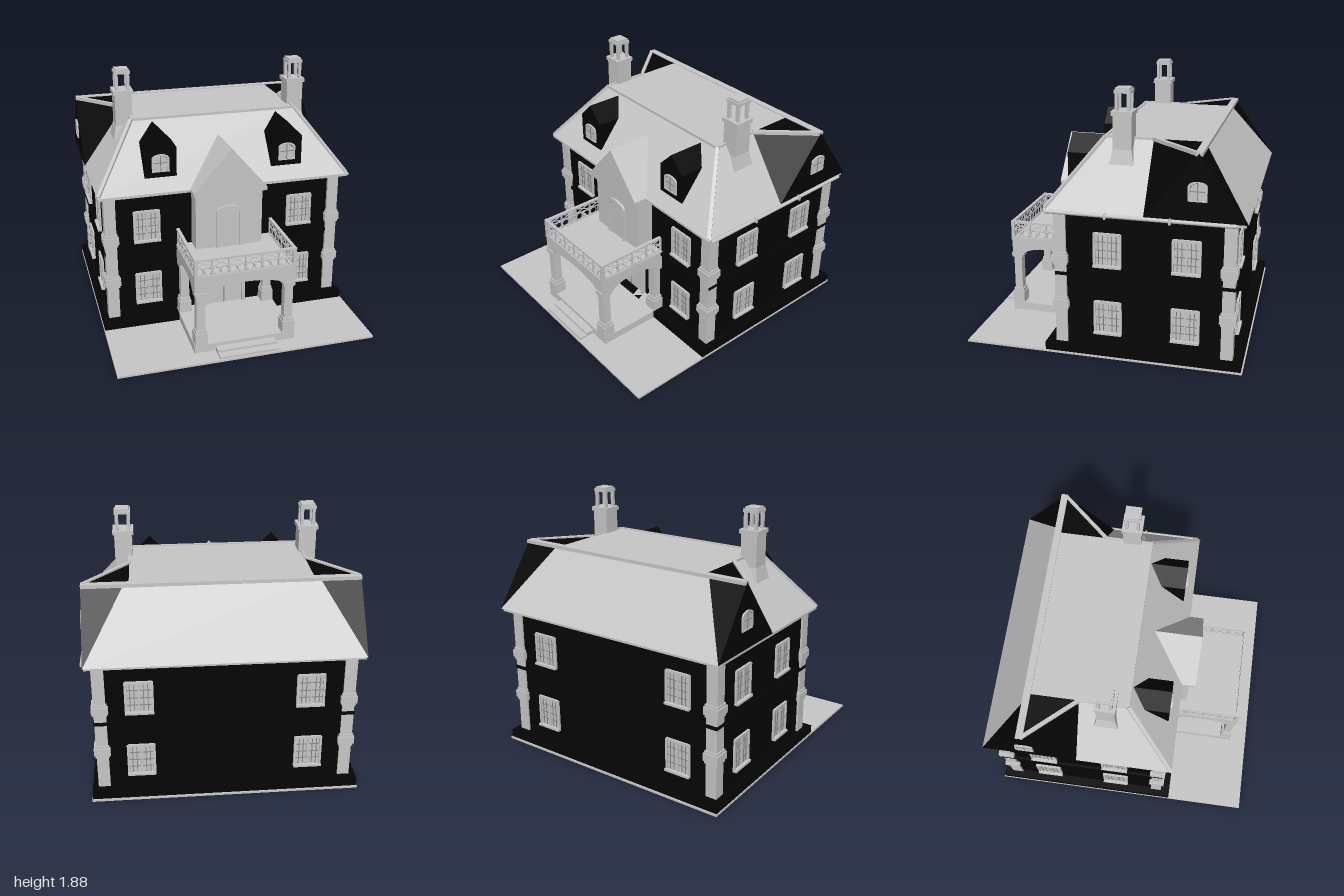
import * as THREE from 'three';

const CX = -0.013; // house axis
const SIDES = [-1, 1];

export function createModel() {
  const root = new THREE.Group();
  root.name = 'house';
  const mat = (name, color) => {
    const m = new THREE.MeshStandardMaterial({ color });
    m.name = name;
    return m;
  };
  const stone = mat('light grey stone', 0xc8c8c8);
  const dark = mat('black brick', 0x050505);
  const line = mat('window bar grey', 0x8c8c8c);

  const add = (parent, name, geo, m) => {
    const mesh = new THREE.Mesh(geo, m);
    mesh.name = name;
    parent.add(mesh);
    return mesh;
  };
  // box given by its min and max on each axis
  const box = (name, x0, x1, y0, y1, z0, z1, m = stone, parent = root) => {
    const b = add(parent, name, new THREE.BoxGeometry(x1 - x0, y1 - y0, z1 - z0), m);
    b.position.set((x0 + x1) / 2, (y0 + y1) / 2, (z0 + z1) / 2);
    return b;
  };
  // box centred on x, z
  const block = (name, x, z, w, d, y0, y1, m = stone, parent = root) =>
    box(name, x - w / 2, x + w / 2, y0, y1, z - d / 2, z + d / 2, m, parent);
  // square bar between two points
  const bar = (name, a, b, t, m = stone) => {
    const p = new THREE.Vector3(...a), q = new THREE.Vector3(...b);
    const mesh = add(root, name, new THREE.BoxGeometry(t, t, p.distanceTo(q)), m);
    mesh.position.copy(p).add(q).multiplyScalar(0.5);
    mesh.lookAt(q);
    return mesh;
  };
  // flat polygon, turned to face away from the middle of the attic
  const attic = new THREE.Vector3(CX, 1.2, -0.3);
  const panel = (name, pts, m) => {
    const v = pts.map(p => new THREE.Vector3(...p));
    const n = v[1].clone().sub(v[0]).cross(v[2].clone().sub(v[0]));
    if (n.dot(v[0].clone().sub(attic)) < 0) v.reverse();
    const tris = [];
    for (let i = 1; i < v.length - 1; i++) tris.push(v[0], v[i], v[i + 1]);
    const g = new THREE.BufferGeometry().setFromPoints(tris);
    g.computeVertexNormals();
    return add(root, name, g, m);
  };
  const archShape = (w, spring, top) => {
    const s = new THREE.Shape();
    s.moveTo(-w / 2, 0);
    s.lineTo(w / 2, 0);
    s.lineTo(w / 2, spring);
    s.absellipse(0, spring, w / 2, top - spring, 0, Math.PI);
    s.closePath();
    return s;
  };
  const extrude = (shape, depth) =>
    new THREE.ExtrudeGeometry(shape, { depth, bevelEnabled: false, curveSegments: 12 });
  const facing = (name, x, y, z, ry = 0) => {
    const g = new THREE.Group();
    g.name = name;
    g.position.set(x, y, z);
    g.rotation.y = ry;
    root.add(g);
    return g;
  };

  // ground, plinth, walls and belt course
  box('ground', -0.965, 0.935, 0, 0.015, -1, 1);
  box('plinth', -0.96, 0.93, 0.015, 0.075, -0.99, 0.4, dark);
  box('walls', -0.9, 0.875, 0.07, 1.04, -0.915, 0.31, dark);
  box('beltCourse', -0.918, 0.892, 0.585, 0.61, -0.933, 0.328, dark);
  box('cornice', -0.915, 0.89, 1.03, 1.055, -0.93, 0.325);
  box('soffit', -0.955, 0.928, 1.05, 1.072, -0.985, 0.38);

  // corner pillars with raised blocks
  for (const s of SIDES) for (const z of [0.2875, -0.885]) {
    const x = CX + s * 0.86;
    block('cornerPillar', x, z, 0.085, 0.085, 0.075, 1.05);
    for (const y of [0.325, 0.66]) {
      block('pillarBlock', x, z, 0.116, 0.116, y + 0.02, y + 0.075);
      block('pillarBlockTrim', x, z, 0.1, 0.1, y, y + 0.093);
    }
  }

  // sash windows on four walls
  const sash = (x, y, z, ry) => {
    const g = facing('window', x, y, z, ry);
    const w = 0.2, h = 0.25;
    box('pane', -w / 2, w / 2, 0.005, h - 0.005, -0.005, 0.004, stone, g);
    for (const s of SIDES) block('frameSide', s * (w / 2 - 0.008), 0.006, 0.016, 0.016, 0, h - 0.008, stone, g);
    block('frameTop', 0, 0.006, w - 0.016, 0.018, h - 0.018, h, stone, g);
    block('sill', 0, 0.012, w, 0.034, 0, 0.016, stone, g);
    block('mullion', 0, 0.006, 0.012, 0.012, 0.01, h - 0.01, stone, g);
    for (const vx of [-0.062, -0.032, 0.032, 0.062]) block('glazingBar', vx, 0.005, 0.006, 0.006, 0.02, h - 0.02, line, g);
    for (const vy of [0.065, 0.12, 0.18]) block('glazingBar', 0, 0.005, w - 0.03, 0.006, vy, vy + 0.006, line, g);
  };
  for (const y of [0.165, 0.668]) for (const s of SIDES) {
    sash(CX + s * 0.59, y, 0.31, 0);
    sash(CX + s * 0.59, y, -0.915, Math.PI);
    for (const z of [-0.048, -0.595]) sash(s > 0 ? 0.875 : -0.9, y, z, s * Math.PI / 2);
  }
  // small arched attic window
  const arched = (x, y, z, ry) => {
    const g = facing('atticWindow', x, y, z, ry);
    add(g, 'atticPane', extrude(archShape(0.1, 0.075, 0.12), 0.006), stone);
    const rim = archShape(0.128, 0.1, 0.132);
    rim.holes.push(new THREE.Path(archShape(0.1, 0.075, 0.118).getPoints(12).map(p => p.setY(p.y + 0.006))));
    add(g, 'atticFrame', extrude(rim, 0.012), stone);
    block('glazingBar', 0, 0.006, 0.006, 0.008, 0.005, 0.12, line, g);
    block('glazingBar', 0, 0.006, 0.1, 0.008, 0.065, 0.071, line, g);
  };

  // main roof: flat top, hipped front, gabled rear ends
  const E = 1.072, T = 1.525, W = 0.948, N = 0.628, zf = 0.385, zt = 0.03, zm = -0.31, zr = -0.67, zb = -1;
  const X = (s, d) => CX + s * d;
  panel('roofFront', [[X(-1, W), E, zf], [X(1, W), E, zf], [X(1, N), T, zt], [X(-1, N), T, zt]], stone);
  panel('roofTop', [[X(-1, N), T, zt], [X(1, N), T, zt], [X(1, N), T, zr], [X(-1, N), T, zr]], stone);
  panel('roofBack', [[X(-1, W), E, zb], [X(1, W), E, zb], [X(1, 0.66), T, zr], [X(-1, 0.66), T, zr]], stone);
  panel('roofUnderside', [[X(-1, W), E, zb], [X(1, W), E, zb], [X(1, W), E, zf], [X(-1, W), E, zf]], stone);
  for (const s of SIDES) {
    const eave = [X(s, W), E, zm], peak = [X(s, W), T, zr], inner = [X(s, N), T, zm];
    panel('roofSide', [[X(s, W), E, zf], eave, inner, [X(s, N), T, zt]], stone);
    panel('roofValley', [eave, peak, inner], dark);
    panel('roofTopCorner', [inner, peak, [X(s, N), T, zr]], dark);
    panel('gableWall', [eave, peak, [X(s, W), E, zb]], dark);
    panel('roofBackCorner', [[X(s, W), E, zb], peak, [X(s, 0.66), T, zr]], dark);
    bar('hipCap', [X(s, W - 0.01), E + 0.005, zf - 0.01], [X(s, N), T - 0.003, zt], 0.026);
    bar('valleyCap', inner, [X(s, W - 0.01), T - 0.003, zr + 0.01], 0.026);
    bar('topEdge', [X(s, N), T, zt], inner, 0.016);
    arched(X(s, W), 1.208, -0.667, s * Math.PI / 2);
  }
  box('frontRidge', X(-1, N), X(1, N), T - 0.012, T + 0.007, zt - 0.01, zt + 0.01);
  box('rearRidge', X(-1, W), X(1, W), T - 0.018, T + 0.007, -0.695, -0.645);

  // gutter on the left eave
  const gutter = add(root, 'gutter', new THREE.CylinderGeometry(0.014, 0.014, 1.3, 10), stone);
  gutter.rotation.x = Math.PI / 2;
  gutter.position.set(0.942, 1.062, -0.28);
  for (const z of [-0.05, -0.49]) block('gutterBracket', 0.945, z, 0.028, 0.014, 1.04, 1.08);

  // chimneys with open lanterns
  for (const s of SIDES) {
    const x = X(s, 0.666), z = -0.112;
    const flare = add(root, 'chimneyFoot', new THREE.CylinderGeometry(0.065 * Math.SQRT2, 0.085 * Math.SQRT2, 0.1, 4), stone);
    flare.geometry.rotateY(Math.PI / 4);
    flare.geometry = flare.geometry.toNonIndexed();
    flare.geometry.computeVertexNormals();
    flare.position.set(x, 1.41, z);
    block('chimneyShaft', x, z, 0.125, 0.13, 1.3, 1.69);
    block('chimneyCollar', x, z, 0.148, 0.148, 1.692, 1.722);
    for (const a of SIDES) for (const b of SIDES)
      block('lanternPost', x + a * 0.042, z + b * 0.042, 0.022, 0.022, 1.72, 1.845);
    block('chimneyCap', x, z, 0.115, 0.115, 1.84, 1.862);
    block('chimneyCapTop', x, z, 0.098, 0.098, 1.862, 1.876);
  }

  // gabled prism: front profile pushed back into the roof
  const gabled = (name, x, w, y0, ye, yp, z0, z1, m) => {
    const s = new THREE.Shape([[-w / 2, y0], [w / 2, y0], [w / 2, ye], [0, yp], [-w / 2, ye]]
      .map(p => new THREE.Vector2(...p)));
    add(root, name, extrude(s, z1 - z0), m).position.set(x, 0, z0);
  };
  for (const s of SIDES) {
    gabled('dormer', X(s, 0.477), 0.235, 1.165, 1.385, 1.503, 0.03, 0.317, dark);
    arched(X(s, 0.477), 1.208, 0.317, 0);
  }

  // central bay and pediment
  block('bayWall', CX, 0.365, 0.505, 0.15, 0.6, 1.06);
  gabled('pediment', CX, 0.553, 1.05, 1.075, 1.39, 0.1, 0.485, stone);
  const balconyDoor = facing('balconyDoor', CX - 0.002, 0.615, 0.44);
  const rim = archShape(0.198, 0.285, 0.33);
  rim.holes.push(new THREE.Path(archShape(0.155, 0.265, 0.305).getPoints(12)));
  add(balconyDoor, 'balconyDoorFrame', extrude(rim, 0.02), stone);
  add(balconyDoor, 'balconyDoorLeaf', extrude(archShape(0.155, 0.265, 0.305), 0.008), stone);

  // arched front door
  const door = facing('frontDoor', CX - 0.002, 0.075, 0.3);
  const surround = archShape(0.33, 0.28, 0.425);
  surround.holes.push(new THREE.Path(archShape(0.28, 0.275, 0.395).getPoints(12)));
  add(door, 'doorSurround', extrude(surround, 0.045), stone);
  add(door, 'doorLeaves', extrude(archShape(0.28, 0.275, 0.395), 0.025), stone);
  block('doorGap', 0, 0.026, 0.006, 0.006, 0, 0.27, line, door);

  // porch floor, steps and columns
  box('porchFloor', -0.39, 0.362, 0.015, 0.075, 0.3, 0.868);
  box('upperStep', -0.235, 0.206, 0.015, 0.05, 0.86, 0.93);
  box('lowerStep', -0.235, 0.206, 0.015, 0.032, 0.86, 0.988);
  for (const s of SIDES) for (const z of [0.825, 0.352]) {
    const x = X(s, 0.326);
    block('columnBase', x, z, 0.092, 0.092, 0.075, 0.165);
    block('columnBaseTrim', x, z, 0.078, 0.078, 0.165, 0.19);
    block('columnShaft', x, z, 0.064, 0.06, 0.19, 0.46);
    block('columnCapital', x, z, 0.086, 0.086, 0.455, 0.49);
  }

  // arched beams and balcony floor
  const beam = (len, depth) => {
    const h = len / 2, o = h - 0.088;
    const s = new THREE.Shape();
    s.moveTo(h, 0.475);
    s.lineTo(h, 0.6);
    s.lineTo(-h, 0.6);
    s.lineTo(-h, 0.475);
    s.lineTo(-o, 0.475);
    s.absellipse(0, 0.475, o, 0.06, Math.PI, 0, true);
    s.closePath();
    return extrude(s, depth);
  };
  add(root, 'frontBeam', beam(0.74, 0.07), stone).position.set(CX - 0.001, 0, 0.79);
  for (const s of SIDES) {
    const b = add(root, 'sideBeam', beam(0.55, 0.07), stone);
    b.rotation.y = Math.PI / 2;
    b.position.set(X(s, 0.335) - 0.035, 0, 0.585);
  }
  box('balconyFloor', -0.386, 0.36, 0.592, 0.617, 0.3, 0.864);

  // railing of rings, crossed bars and posts
  const ring = new THREE.TorusGeometry(0.027, 0.004, 4, 12);
  const railing = (len, count, x, z, ry) => {
    const g = facing('railing', x, 0.615, z, ry);
    const step = len / count;
    block('topRail', 0, 0, len, 0.024, 0.118, 0.134, stone, g);
    block('middleRail', 0, 0, len, 0.008, 0.062, 0.068, stone, g);
    block('bottomRail', 0, 0, len, 0.014, 0, 0.01, stone, g);
    for (let i = 0; i <= count; i++) {
      const px = -len / 2 + i * step;
      block('baluster', px, 0, 0.012, 0.012, 0, 0.12, stone, g);
      if (i === count) break;
      for (const k of [0.25, 0.75])
        add(g, 'railRing', ring, stone).position.set(px + k * step, 0.035, 0);
      for (const s of SIDES) {
        const c = block('crossBar', 0, 0, step * 1.08, 0.006, -0.003, 0.003, stone, g);
        c.position.set(px + step / 2, 0.093, 0);
        c.rotation.z = s * Math.atan2(0.05, step);
      }
    }
  };
  railing(0.73, 6, CX, 0.85, 0);
  for (const s of SIDES) railing(0.53, 4, X(s, 0.36), 0.585, Math.PI / 2);
  for (const s of SIDES) block('railPost', X(s, 0.36), 0.85, 0.026, 0.026, 0.61, 0.75);

  return root;
}
